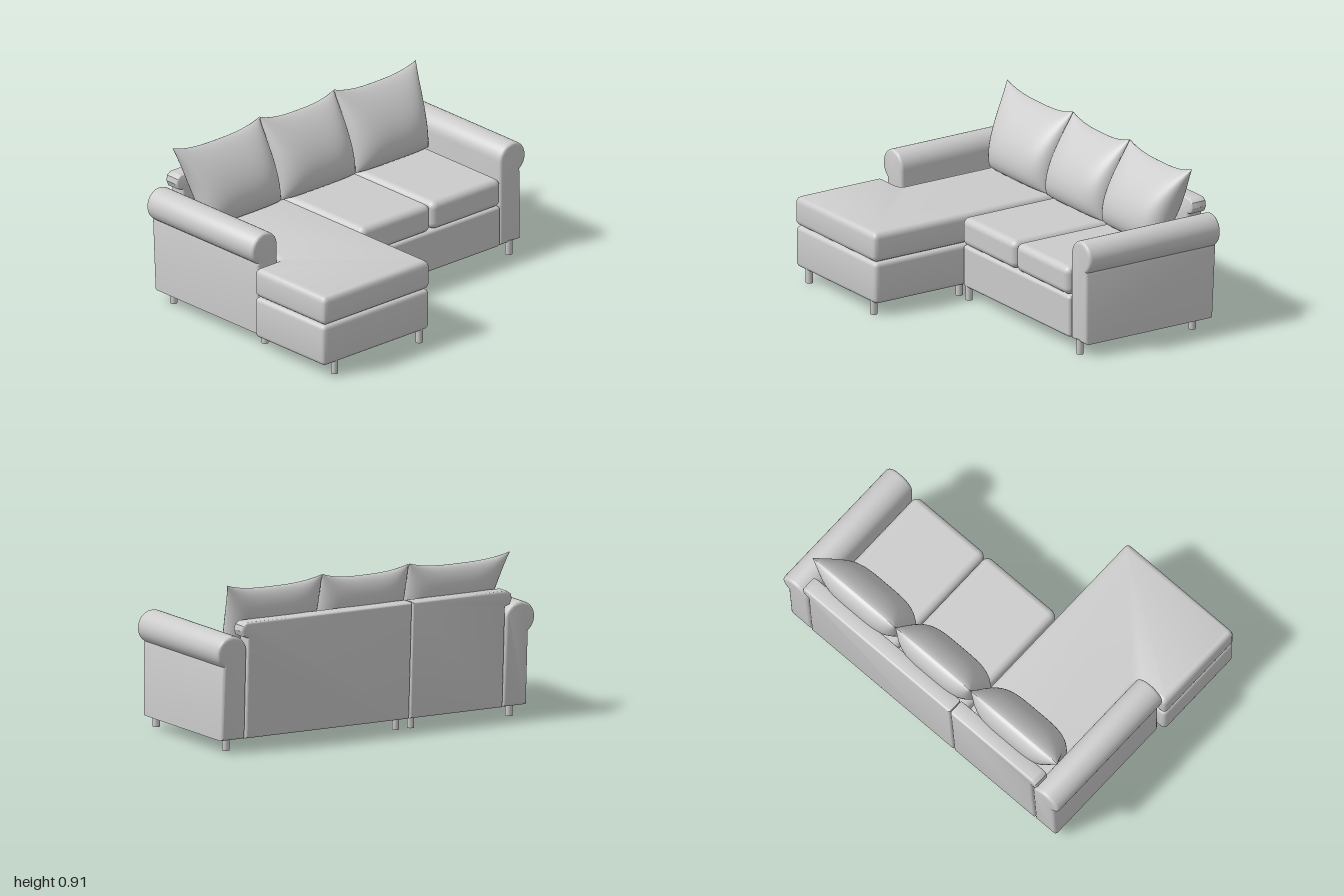
import * as THREE from 'three';
import { toCreasedNormals } from 'three/addons/utils/BufferGeometryUtils.js';
import { RoundedBoxGeometry } from 'three/addons/geometries/RoundedBoxGeometry.js';

const material = new THREE.MeshStandardMaterial({ color: 0xcccccc });
const clothMaterial = new THREE.MeshStandardMaterial({ color: 0xcccccc, side: THREE.DoubleSide });

function add(group, name, geometry, mat = material) {
  const mesh = new THREE.Mesh(geometry, mat);
  mesh.name = name;
  group.add(mesh);
  return mesh;
}

// Rounded box given by its limits on each axis
function softBox([x0, x1], [y0, y1], [z0, z1], radius) {
  return new RoundedBoxGeometry(x1 - x0, y1 - y0, z1 - z0, 5, radius)
    .translate((x0 + x1) / 2, (y0 + y1) / 2, (z0 + z1) / 2);
}

// Extrusion whose bevel stays inside the outline and the depth
function softExtrude(points, depth, bevel) {
  const shape = new THREE.Shape(points.map(([x, y]) => new THREE.Vector2(x, y)));
  return new THREE.ExtrudeGeometry(shape, {
    depth: depth - 2 * bevel, bevelThickness: bevel, bevelSize: bevel,
    bevelOffset: -bevel, bevelSegments: 4,
  }).translate(0, 0, bevel);
}

// Lean the rear vertices backwards with height
function leanBack(geometry, zLimit) {
  const p = geometry.attributes.position;
  for (let i = 0; i < p.count; i++) {
    if (p.getZ(i) < zLimit) p.setZ(i, p.getZ(i) - 0.05 * (p.getY(i) - 0.07));
  }
  return toCreasedNormals(geometry, 0.6);
}

// Replace every corner of an outline by a small arc
function roundCorners(points, r) {
  const out = [];
  points.forEach((pt, i) => {
    const p = new THREE.Vector2(...pt);
    const a = new THREE.Vector2(...points.at(i - 1)).sub(p).setLength(r).add(p);
    const b = new THREE.Vector2(...points[(i + 1) % points.length]).sub(p).setLength(r).add(p);
    new THREE.QuadraticBezierCurve(a, p, b).getPoints(5).forEach(q => out.push([q.x, q.y]));
  });
  return out;
}

// L-shaped chaise layer, wrapping around the front of the arm
function chaiseLayer(y0, y1, zFront, zBack, bevel) {
  const outline = [[-1, -zFront], [-0.225, -zFront], [-0.225, -zBack],
    [-0.81, -zBack], [-0.81, -0.155], [-1, -0.155]];
  const geometry = softExtrude(roundCorners(outline, 0.03), y1 - y0, bevel)
    .rotateX(-Math.PI / 2).translate(0, y0, 0);
  return toCreasedNormals(geometry, 0.6);
}

// Arm with a rolled top overhanging outwards
function rolledArm(side) {
  const points = [[0.813, 0.07], [0.962, 0.07], [0.962, 0.47]];
  for (let i = 0; i <= 24; i++) {
    const a = -Math.PI / 3.2 + i / 24 * (Math.PI + Math.PI / 3.2);
    points.push([0.908 + 0.092 * Math.cos(a), 0.557 + 0.092 * Math.sin(a)]);
  }
  const geometry = softExtrude(points.map(([x, y]) => [side * x, y]), 0.832, 0.018);
  return leanBack(geometry.translate(0, 0, -0.687), -0.5);
}

// Back panel with a rounded shoulder resting on the arm
function backPanel(side, inner) {
  const points = [[inner, 0.07], [side * 0.81, 0.07], [side * 0.81, 0.63],
    [side * 0.84, 0.64], [side * 0.852, 0.67], [side * 0.845, 0.7],
    [side * 0.82, 0.717], [inner, 0.717]];
  return leanBack(softExtrude(points, 0.095, 0.012).translate(0, 0, -0.688), 1);
}

// Leaning scatter cushion: two bulging sheets meeting in a seam
function pillow(x0, x1, flareLeft, flareRight) {
  const n = 28, position = [], index = [];
  for (const face of [1, -1]) {
    const start = position.length / 3;
    for (let j = 0; j <= n; j++) {
      for (let i = 0; i <= n; i++) {
        const u = -Math.cos(Math.PI * i / n);
        const v = (1 - Math.cos(Math.PI * j / n)) / 2;
        const left = x0 - flareLeft * v * v, right = x1 + flareRight * v * v;
        const top = 0.873 + 0.035 * Math.abs(u) ** 3;
        const y = 0.472 + (top - 0.472) * v;
        const puff = 0.122 * Math.max(0, Math.sin(Math.PI * v ** 0.85)) ** 0.6
          * Math.sqrt(Math.max(0, 1 - u ** 4));
        position.push((left + right) / 2 + u * (right - left) / 2, y,
          -0.43 - 0.4 * (y - 0.472) + face * puff);
        if (i < n && j < n) {
          const a = start + j * (n + 1) + i, b = a + 1, c = a + n + 1, d = c + 1;
          if (face > 0) index.push(a, b, d, a, d, c);
          else index.push(a, d, b, a, c, d);
        }
      }
    }
  }
  const geometry = new THREE.BufferGeometry();
  geometry.setAttribute('position', new THREE.Float32BufferAttribute(position, 3));
  geometry.setIndex(index);
  geometry.computeVertexNormals();
  return geometry;
}

export function createModel() {
  const sofa = new THREE.Group();
  sofa.name = 'cornerSofa';

  // Chaise section
  add(sofa, 'chaiseBase', chaiseLayer(0.07, 0.304, 0.715, -0.61, 0.025));
  add(sofa, 'chaiseCushion', chaiseLayer(0.306, 0.474, 0.72, -0.6, 0.035));

  // Two-seat section
  add(sofa, 'seatBase', softBox([-0.22, 0.811], [0.07, 0.308], [-0.61, 0.152], 0.02));
  add(sofa, 'seatCushionRight', softBox([-0.216, 0.297], [0.31, 0.472], [-0.6, 0.163], 0.04));
  add(sofa, 'seatCushionLeft', softBox([0.301, 0.81], [0.31, 0.472], [-0.6, 0.163], 0.04));

  // Arms and back panels
  add(sofa, 'armLeft', rolledArm(1));
  add(sofa, 'armRight', rolledArm(-1));
  add(sofa, 'backPanelLeft', backPanel(1, -0.221));
  add(sofa, 'backPanelRight', backPanel(-1, -0.226));

  // Back cushions, the outer ones flaring over the arms
  add(sofa, 'backCushionRight', pillow(-0.815, -0.27, 0.09, 0), clothMaterial);
  add(sofa, 'backCushionMiddle', pillow(-0.266, 0.276, 0, 0), clothMaterial);
  add(sofa, 'backCushionLeft', pillow(0.28, 0.81, 0, 0.068), clothMaterial);

  // Legs
  const legGeometry = new THREE.CylinderGeometry(0.02, 0.02, 0.085, 20).translate(0, 0.0425, 0);
  const spots = [[-0.9, 0.69], [-0.28, 0.69]];
  for (const x of [-0.9, -0.28, -0.185, 0.885]) spots.push([x, 0.132], [x, -0.6]);
  for (const [x, z] of spots) add(sofa, 'leg', legGeometry).position.set(x, 0, z);

  return sofa;
}
